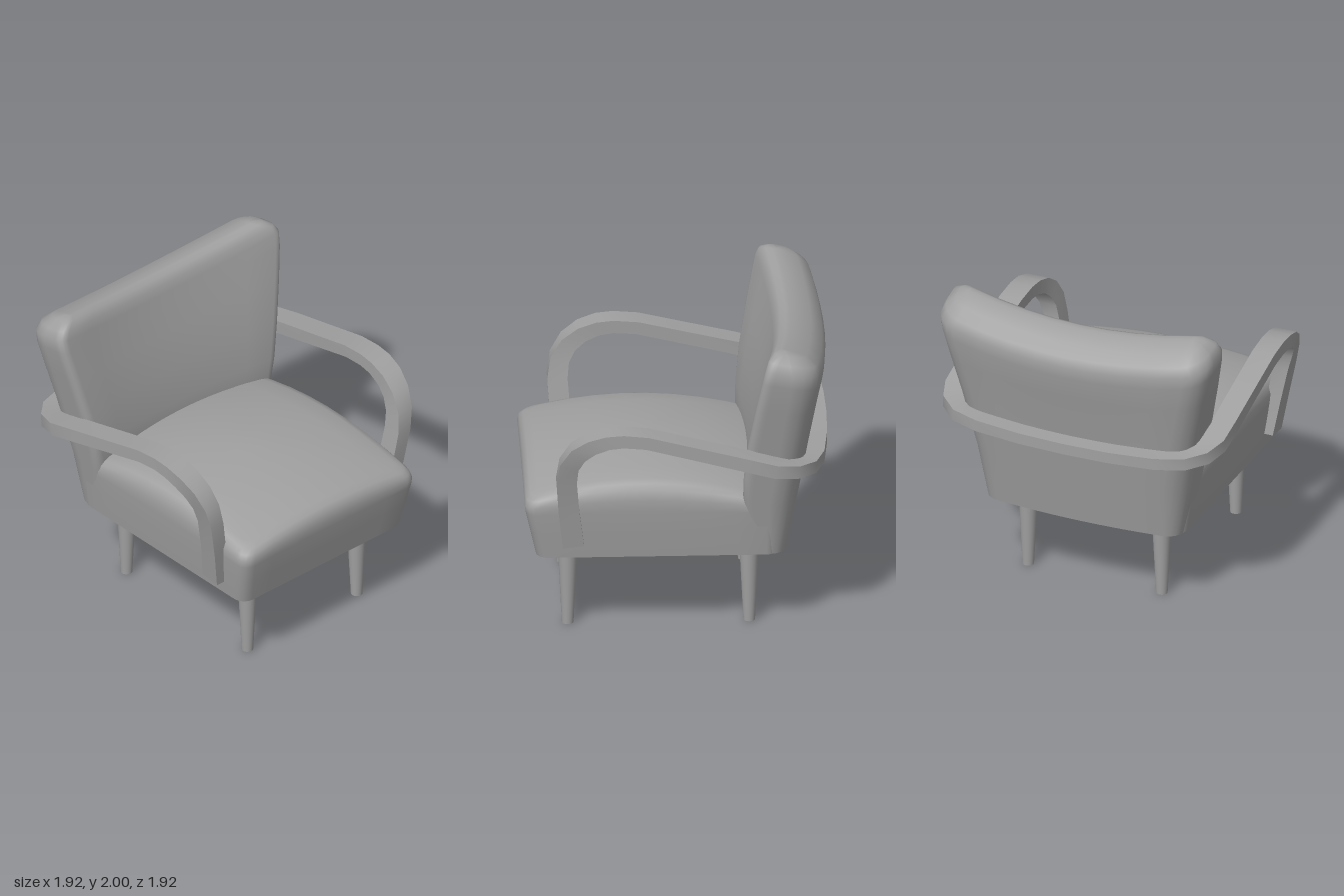
import * as THREE from 'three';
import { toCreasedNormals } from 'three/addons/utils/BufferGeometryUtils.js';

const material = new THREE.MeshStandardMaterial({ color: 0xa0a0a0 });

// Joins equal-length closed rings of [x, y, z] points into one surface.
function skin(name, rings) {
  const n = rings[0].length;
  const index = [];
  for (let r = 0; r < rings.length - 1; r++) {
    for (let i = 0; i < n; i++) {
      const j = (i + 1) % n;
      const a = r * n + i, b = r * n + j;
      index.push(a, a + n, b, b, a + n, b + n);
    }
  }
  const geometry = new THREE.BufferGeometry();
  geometry.setAttribute('position', new THREE.Float32BufferAttribute(rings.flat(2), 3));
  geometry.setIndex(index);
  const mesh = new THREE.Mesh(toCreasedNormals(geometry, 0.8), material);
  mesh.name = name;
  return mesh;
}

// Rounded rectangle in plan, with its own front and back corner radii.
function planRing(w, zf, zb, frontRadius, backRadius) {
  const limit = Math.min(w, (zf - zb) / 2);
  const rf = Math.min(frontRadius, limit), rb = Math.min(backRadius, limit);
  const corners = [
    [w - rf, zf - rf, rf], [rf - w, zf - rf, rf],
    [rb - w, zb + rb, rb], [w - rb, zb + rb, rb],
  ];
  const arcs = corners.map(([cx, cz, r], c) => Array.from({ length: 5 }, (_, i) => {
    const a = (c + i / 4) * Math.PI / 2;
    return [cx + r * Math.cos(a), cz + r * Math.sin(a)];
  }));
  return arcs.flatMap((arc, c) => {
    const p = arc[4], q = arcs[(c + 1) % 4][0];
    const edge = [];
    for (let i = 1; i < 8; i++) {
      edge.push([p[0] + (q[0] - p[0]) * i / 8, p[1] + (q[1] - p[1]) * i / 8]);
    }
    return [...arc, ...edge];
  });
}

// Stacks levels [y, halfWidth, zFront, zBack, warpAmount] into an upholstered body.
function cushion(name, levels, frontRadius, backRadius, warp) {
  return skin(name, levels.map(([y, w, zf, zb, k]) =>
    planRing(w, zf, zb, frontRadius, backRadius).map(([x, z]) => warp(x, y, z, k))));
}

// Seat: flared sides and a top crowned in both directions.
function makeSeat() {
  const levels = [
    [0.545, 0, 0.15, 0.15, 0],
    [0.545, 0.68, 0.89, -0.62, 0],
    [0.72, 0.704, 0.928, -0.62, 0],
    [0.85, 0.72, 0.957, -0.62, 0.2],
    [0.89, 0.724, 0.963, -0.62, 0.5],
    [0.922, 0.71, 0.952, -0.61, 0.77],
    [0.933, 0.685, 0.927, -0.6, 0.93],
    [0.935, 0.64, 0.88, -0.57, 1],
    [0.935, 0.5, 0.71, -0.41, 1],
    [0.935, 0.3, 0.48, -0.18, 1],
    [0.935, 0.12, 0.27, 0.03, 1],
    [0.935, 0, 0.15, 0.15, 1],
  ];
  return cushion('seat', levels, 0.08, 0.06, (x, y, z, k) => [
    x,
    y + k * (0.07 * (1 - (x / 0.72) ** 2) + 0.12 * (1 - ((z - 0.23) / 0.76) ** 2)),
    z,
  ]);
}

// Backrest: widens upwards, bows backwards, with raised corners and a top falling to the rear.
function makeBackrest() {
  const levels = [
    [0.545, 0.5, -0.57, -0.57, 0],
    [0.545, 0.67, -0.465, -0.65, 0],
    [0.9, 0.735, -0.383, -0.716, 0],
    [1.1, 0.775, -0.393, -0.753, 0],
    [1.32, 0.82, -0.425, -0.794, 0.2],
    [1.55, 0.88, -0.483, -0.84, 0.6],
    [1.72, 0.922, -0.53, -0.875, 0.9],
    [1.8, 0.93, -0.55, -0.88, 1],
    [1.86, 0.9, -0.565, -0.86, 1],
    [1.91, 0.84, -0.595, -0.79, 1],
    [1.93, 0.78, -0.63, -0.69, 1],
    [1.93, 0.76, -0.66, -0.66, 1],
  ];
  return cushion('backrest', levels, 0.06, 0.14, (x, y, z, k) => [
    x,
    y + k * (0.07 * (x / 0.8) ** 2 + 0.2 * (z + 0.68)),
    z - 0.07 * (1 - (x / 0.85) ** 2),
  ]);
}

// Arm rail: one bent band from the left foot, round the back, to the right foot.
function makeArmRail() {
  // x, y, z, width, thickness, turn of the width direction in degrees
  const half = [
    [0.707, 0.65, 0.66, 0.095, 0.135, 0],
    [0.747, 0.9, 0.688, 0.097, 0.13, 0],
    [0.788, 1.13, 0.705, 0.102, 0.128, 0],
    [0.812, 1.25, 0.69, 0.115, 0.122, 0],
    [0.835, 1.345, 0.635, 0.13, 0.112, 0],
    [0.853, 1.41, 0.55, 0.143, 0.1, 0],
    [0.862, 1.447, 0.45, 0.15, 0.09, 0],
    [0.866, 1.458, 0.35, 0.15, 0.085, 0],
    [0.87, 1.445, 0.2, 0.15, 0.083, 0],
    [0.877, 1.37, -0.1, 0.15, 0.085, 0],
    [0.885, 1.29, -0.42, 0.15, 0.088, 0],
    [0.886, 1.24, -0.6, 0.148, 0.088, 6],
    [0.858, 1.215, -0.72, 0.13, 0.084, 32],
    [0.765, 1.198, -0.815, 0.122, 0.08, 60],
    [0.6, 1.19, -0.865, 0.122, 0.078, 78],
    [0.3, 1.182, -0.892, 0.122, 0.075, 85],
    [0, 1.18, -0.9, 0.12, 0.074, 90],
  ];
  const mirrored = half.slice(0, -1).reverse()
    .map(([x, y, z, w, t, a]) => [-x, y, z, w, t, 180 - a]);
  const stations = [...half, ...mirrored];
  const centres = stations.map(([x, y, z]) => new THREE.Vector3(x, y, z));
  const last = stations.length - 1;
  const rings = stations.map(([, , , w, t, deg], i) => {
    const a = THREE.MathUtils.degToRad(deg);
    const along = centres[Math.min(i + 1, last)].clone().sub(centres[Math.max(i - 1, 0)]);
    const side = new THREE.Vector3(Math.cos(a), 0, -Math.sin(a));
    const up = side.clone().cross(along).normalize();
    return [[1, -1], [1, 1], [-1, 1], [-1, -1]].map(([s, u]) => centres[i].clone()
      .addScaledVector(side, s * w / 2).addScaledVector(up, u * t / 2).toArray());
  });
  // Close both feet
  const cap = (i) => Array(4).fill(centres[i].toArray());
  return skin('armRail', [cap(0), ...rings, cap(last)]);
}

export function createModel() {
  const group = new THREE.Group();
  group.name = 'armchair';
  group.add(makeSeat(), makeBackrest(), makeArmRail());

  // Four tapered legs
  const legGeometry = new THREE.CylinderGeometry(0.064, 0.037, 0.55, 20);
  for (const [end, z] of [['front', 0.685], ['back', -0.457]]) {
    for (const [side, x] of [['Left', 0.46], ['Right', -0.46]]) {
      const leg = new THREE.Mesh(legGeometry, material);
      leg.name = `${end}${side}Leg`;
      leg.position.set(x, 0.275, z);
      group.add(leg);
    }
  }
  return group;
}
